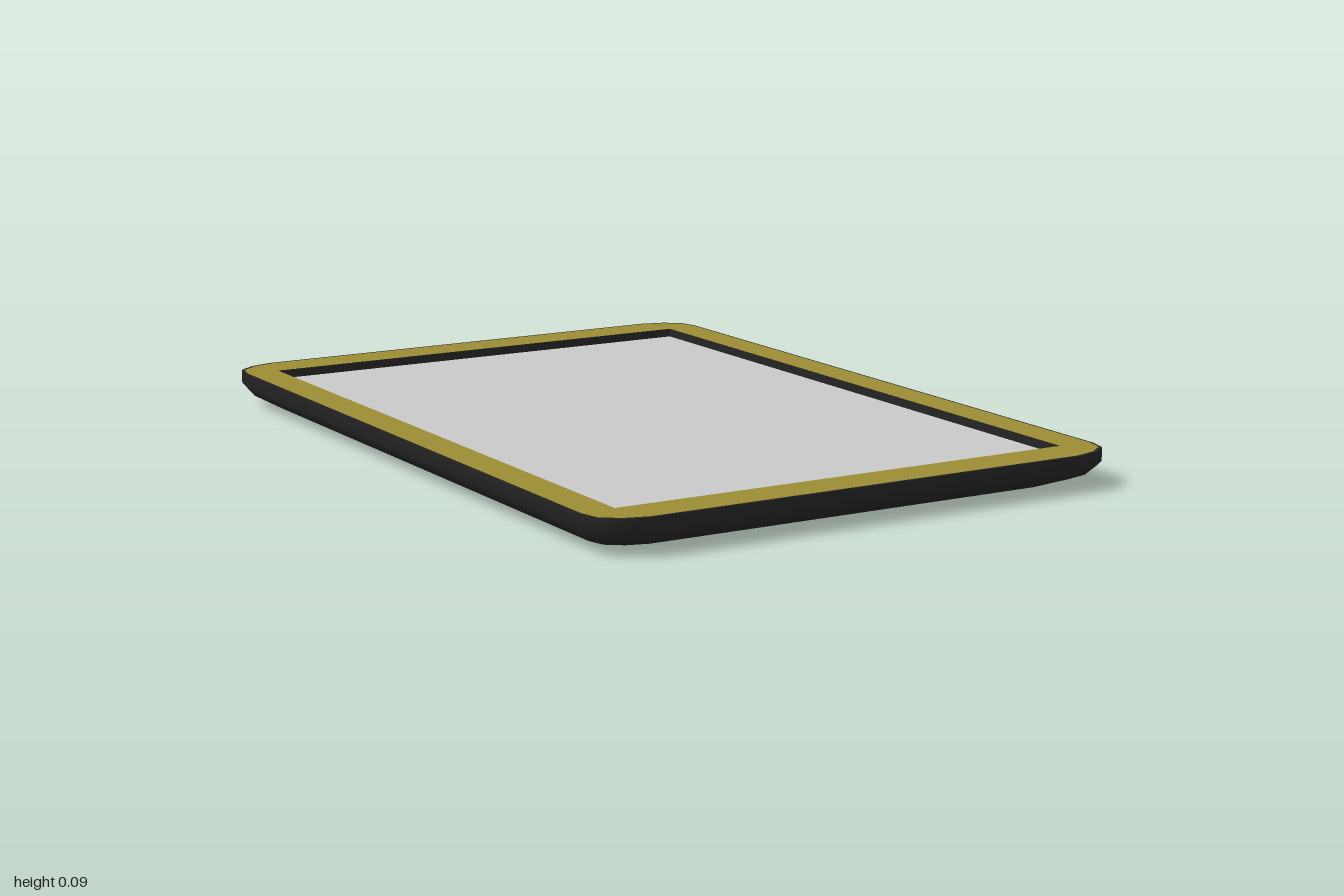
import * as THREE from 'three';

const TOP = 0.088, SCREEN_Y = 0.066;

// Mirror one corner into a closed outline of [x, z] points
function mirrorCorner(corner) {
  const back = [...corner].reverse();
  return [
    ...corner,
    ...back.map(([x, z]) => [-x, z]),
    ...corner.map(([x, z]) => [-x, -z]),
    ...back.map(([x, z]) => [x, -z]),
  ];
}

const OUTER = mirrorCorner([[0.695, 0.90], [0.683, 0.95], [0.64, 0.983], [0.58, 1]]);
const INNER = mirrorCorner([[0.605, 0.89]]);
const scaled = (pts, s) => pts.map(([x, z]) => [x * s, z * s]);

// Skin between scaled copies of an outline, each level being [scale, y]
function loft(outline, levels) {
  const n = outline.length, pos = [], idx = [];
  levels.forEach(([s, y]) => scaled(outline, s).forEach(([x, z]) => pos.push(x, y, z)));
  for (let l = 0; l < levels.length - 1; l++) {
    for (let i = 0; i < n; i++) {
      const a = l * n + i, b = l * n + (i + 1) % n;
      idx.push(a, a + n, b, a + n, b + n, b);
    }
  }
  const g = new THREE.BufferGeometry();
  g.setAttribute('position', new THREE.Float32BufferAttribute(pos, 3));
  g.setIndex(idx);
  g.computeVertexNormals();
  return g;
}

// Upward-facing flat face, with an optional opening
function face(outline, y, opening) {
  const toVec = (pts) => pts.map(([x, z]) => new THREE.Vector2(x, z));
  const shape = new THREE.Shape(toVec(outline));
  if (opening) shape.holes.push(new THREE.Path(toVec(opening)));
  return new THREE.ShapeGeometry(shape).rotateX(-Math.PI / 2).translate(0, y, 0);
}

export function createModel() {
  const group = new THREE.Group();
  const material = (name, color) => {
    const m = new THREE.MeshStandardMaterial({ color });
    m.name = name;
    return m;
  };
  const black = material('black casing', 0x242424);
  const gold = material('gold bezel', 0x9a8c32);
  const grey = material('grey screen', 0xc8c8c8);

  const add = (name, geometry, mat) => {
    const mesh = new THREE.Mesh(geometry, mat);
    mesh.name = name;
    group.add(mesh);
  };

  // Casing: flat back curving up into upright sides
  add('casing', loft(OUTER, [[0, 0], [0.9, 0], [0.977, 0.03], [1, 0.054], [1, TOP]]), black);

  // Thin dark edge around the bezel
  const bezelEdge = scaled(OUTER, 0.993);
  add('casingEdge', face(OUTER, TOP, bezelEdge), black);
  add('bezel', face(bezelEdge, TOP, INNER), gold);

  // Recessed screen and the walls around it
  const walls = loft(INNER, [[1, TOP], [1, SCREEN_Y]]).toNonIndexed();
  walls.computeVertexNormals();
  add('recessWalls', walls, black);
  add('screen', face(INNER, SCREEN_Y), grey);

  return group;
}
